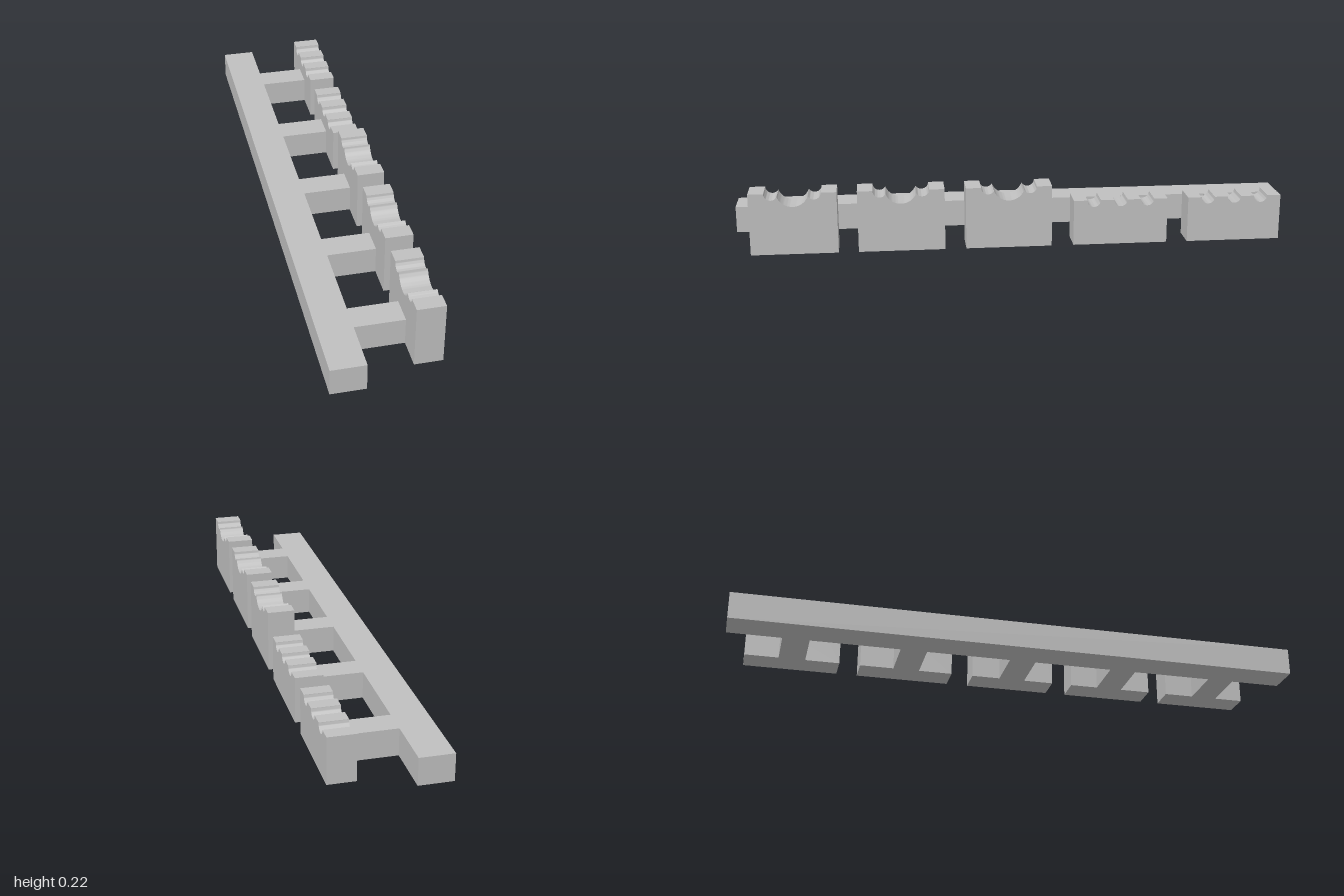
import * as THREE from 'three';
import { toCreasedNormals } from 'three/addons/utils/BufferGeometryUtils.js';

const grey = new THREE.MeshStandardMaterial({ color: 0xbfbfbf });
grey.name = 'plain grey';

const RAIL_H = 0.095, X_MIN = -0.19, X_RAIL = -0.073, X_BLOCK = 0.095, X_MAX = 0.19;

function box(name, x0, x1, z0, z1) {
  const mesh = new THREE.Mesh(new THREE.BoxGeometry(x1 - x0, RAIL_H, z1 - z0), grey);
  mesh.position.set((x0 + x1) / 2, RAIL_H / 2, (z0 + z1) / 2);
  mesh.name = name;
  return mesh;
}

// Block with round grooves across its top; each groove is [centre, centreY, radius, fromX, toX]
function groovedBlock(name, z0, z1, height, grooves) {
  const half = (z1 - z0) / 2;
  const shape = new THREE.Shape();
  shape.moveTo(half, 0);
  shape.lineTo(half, height);
  for (const [c, cy, r, from, to] of grooves) {
    const a0 = -Math.acos(Math.min(1, (from - c) / r));
    const a1 = -Math.acos(Math.max(-1, (to - c) / r));
    shape.absarc(c, cy, r, a0, a1, true);
  }
  shape.lineTo(-half, height);
  shape.lineTo(-half, 0);
  shape.closePath();
  const geo = new THREE.ExtrudeGeometry(shape, { depth: X_MAX - X_BLOCK, bevelEnabled: false, curveSegments: 16 });
  const mesh = new THREE.Mesh(toCreasedNormals(geo, 0.5), grey);
  mesh.rotation.y = -Math.PI / 2;
  mesh.position.set(X_MAX, 0, (z0 + z1) / 2);
  mesh.name = name;
  return mesh;
}

export function createModel() {
  const group = new THREE.Group();
  group.name = 'groovedRack';

  // Long rail and the arms that carry the blocks
  group.add(box('rail', X_MIN, X_RAIL, -1, 1));
  for (const z of [-0.765, -0.358, 0.032, 0.403, 0.777]) {
    group.add(box('arm', X_RAIL, X_BLOCK, z - 0.0465, z + 0.0465));
  }

  // Tall blocks: one wide groove between two narrow ones
  const H = 0.218, r = 0.0237;
  const tall = [
    [0.073, H, r, 0.0967, 0.0525],
    [0, 0.2263, 0.0563, 0.0525, -0.0525],
    [-0.073, H, r, -0.0525, -0.0967],
  ];
  for (const z of [0.035, 0.408, 0.777]) {
    group.add(groovedBlock('tallBlock', z - 0.15, z + 0.15, H, tall));
  }

  // Low blocks: three equal narrow grooves
  const h = 0.161;
  const low = [0.0945, 0, -0.0945].map((c) => [c, h, r, c + r, c - r]);
  for (const z of [-0.358, -0.764]) {
    group.add(groovedBlock('lowBlock', z - 0.166, z + 0.166, h, low));
  }
  return group;
}
